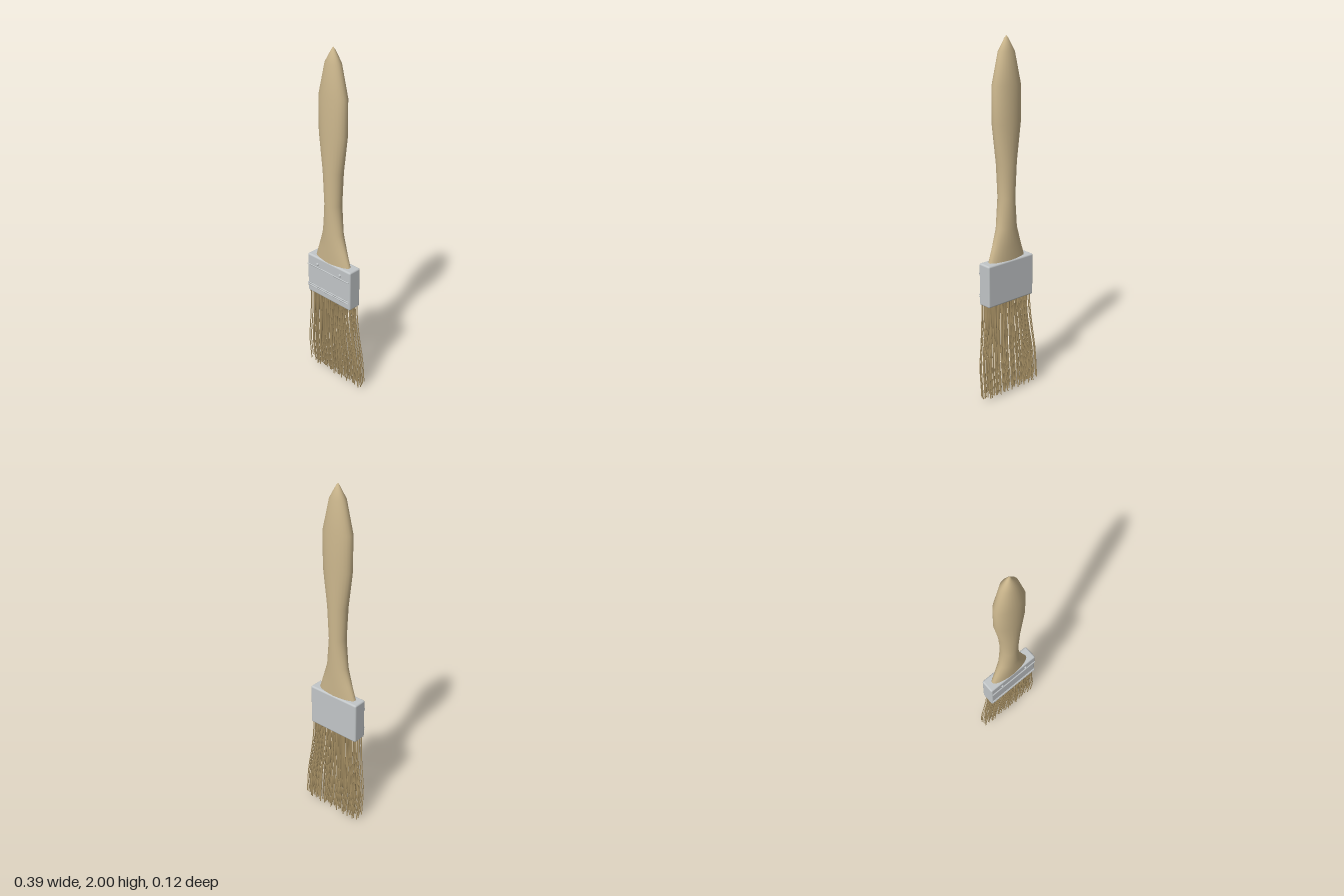
import * as THREE from 'three';
import { mergeGeometries, mergeVertices } from 'three/addons/utils/BufferGeometryUtils.js';
import { RoundedBoxGeometry } from 'three/addons/geometries/RoundedBoxGeometry.js';

const wood = new THREE.MeshStandardMaterial({ color: 0xcdb88e });
const metal = new THREE.MeshStandardMaterial({ color: 0xc2c6c8 });
const bristle = new THREE.MeshStandardMaterial({ color: 0xa89165, side: THREE.DoubleSide });
wood.name = 'wood';
metal.name = 'metal';
bristle.name = 'bristle';

// Seeded random numbers in 0..1
function makeRandom(seed) {
  return () => (seed = (seed * 16807) % 2147483647) / 2147483647;
}

function add(parent, name, geometry, material, x = 0, y = 0, z = 0) {
  const mesh = new THREE.Mesh(geometry, material);
  mesh.name = name;
  mesh.position.set(x, y, z);
  parent.add(mesh);
  return mesh;
}

// Oval handle: each section is [height, half width, half depth]
function handleGeometry() {
  const sections = [
    [0.78, 0.126, 0.037], [0.80, 0.125, 0.038], [0.88, 0.098, 0.041], [0.98, 0.066, 0.044],
    [1.15, 0.048, 0.048], [1.34, 0.06, 0.051], [1.55, 0.09, 0.053], [1.75, 0.09, 0.052],
    [1.92, 0.048, 0.037], [1.985, 0.011, 0.01], [2.0, 0, 0],
  ];
  let geometry = new THREE.LatheGeometry(sections.map(([y, w]) => new THREE.Vector2(w, y)), 24);
  const p = geometry.attributes.position;
  for (let i = 0; i < p.count; i++) {
    const [, w, d] = sections[i % sections.length];
    if (w > 0) p.setZ(i, p.getZ(i) * d / w);
  }
  geometry.deleteAttribute('uv');
  geometry.deleteAttribute('normal');
  geometry = mergeVertices(geometry);
  geometry.computeVertexNormals();
  return geometry;
}

// Thin strands that fan out sideways and sweep towards the back
function bristleGeometry() {
  const random = makeRandom(4127);
  const jitter = (size) => (random() - 0.5) * size;
  const strands = [];
  const columns = 26, rows = 5;
  for (let i = 0; i < columns; i++) {
    for (let j = 0; j < rows; j++) {
      const u = THREE.MathUtils.clamp(((i + 0.5) / columns) * 2 - 1 + jitter(0.13), -1, 1);
      const v = ((j + 0.5) / rows) * 2 - 1 + jitter(0.3);
      const end = i === 13 && j === 2 ? 0 : 0.008 + random() * 0.045;
      const spread = 0.194 * u + jitter(0.004);
      const points = [
        [0.154 * u, 0.57, 0.004 + 0.034 * v],
        [0.16 * u + jitter(0.006), 0.46, 0.033 * v],
        [0.178 * u + jitter(0.01), 0.32, -0.006 + 0.032 * v],
        [spread, 0.2, -0.013 + 0.031 * v],
        [spread, end, -0.028 + 0.03 * v],
      ].map((q) => new THREE.Vector3(...q));
      const path = new THREE.CurvePath();
      for (let k = 1; k < points.length; k++) path.add(new THREE.LineCurve3(points[k - 1], points[k]));
      strands.push(new THREE.TubeGeometry(path, 8, 0.003, 6));
    }
  }
  return mergeGeometries(strands);
}

export function createModel() {
  const model = new THREE.Group();
  model.name = 'paintbrush';

  add(model, 'handle', handleGeometry(), wood, -0.003, 0, 0.005);

  // Metal ferrule with raised ridges and rivets on the front
  const ferrule = new THREE.Group();
  ferrule.name = 'ferrule';
  model.add(ferrule);
  add(ferrule, 'ferruleBody', new RoundedBoxGeometry(0.325, 0.243, 0.083, 3, 0.01), metal, -0.003, 0.6785, 0.0035);
  for (const y of [0.738, 0.614, 0.602]) {
    const ridge = add(ferrule, 'ridge', new THREE.CapsuleGeometry(0.004, 0.309, 3, 8), metal, -0.003, y, 0.049);
    ridge.rotation.z = Math.PI / 2;
  }
  for (const side of [-1, 1]) {
    const rivet = add(ferrule, 'rivet', new THREE.SphereGeometry(0.009, 12, 8), metal, side * 0.086, 0.757, 0.046);
    rivet.scale.z = 0.9;
  }

  add(model, 'bristles', bristleGeometry(), bristle);
  return model;
}
